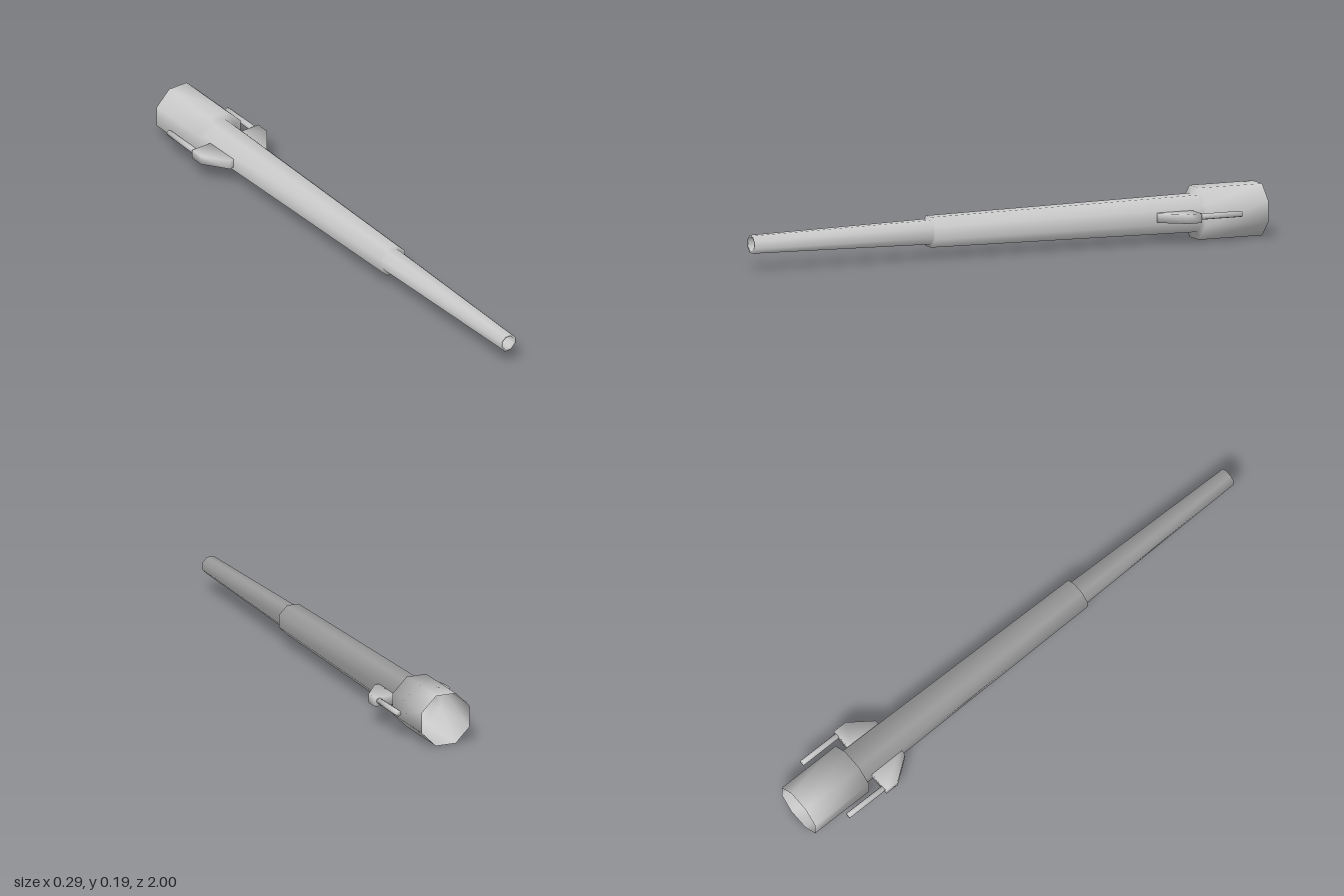
import * as THREE from 'three';
import { mergeVertices } from 'three/addons/utils/BufferGeometryUtils.js';

const AXIS_X = -0.001, AXIS_Y = 0.094;

// Weld all corners and give each the average of its face normals, however large the faces are
function smooth(source) {
  source.deleteAttribute('normal');
  source.deleteAttribute('uv');
  const geometry = mergeVertices(source);
  const { index, attributes: { position } } = geometry;
  const normals = Array.from({ length: position.count }, () => new THREE.Vector3());
  const face = new THREE.Triangle(), n = new THREE.Vector3();
  for (let i = 0; i < index.count; i += 3) {
    const corners = [0, 1, 2].map(k => index.getX(i + k));
    if (new Set(corners).size < 3) continue;
    face.setFromAttributeAndIndices(position, ...corners).getNormal(n);
    corners.forEach(c => normals[c].add(n));
  }
  const values = normals.flatMap(v => v.normalize().toArray());
  geometry.setAttribute('normal', new THREE.Float32BufferAttribute(values, 3));
  return geometry;
}

// Octagonal tube along z from [z, half width across flats] pairs, flats facing up and sideways
function octagon(profile) {
  const points = profile.map(([z, r]) => new THREE.Vector2(r / Math.cos(Math.PI / 8), z));
  return new THREE.LatheGeometry(points, 8, Math.PI / 8).rotateX(Math.PI / 2);
}

export function createModel() {
  const model = new THREE.Group();
  model.name = 'cannonBarrel';
  const material = new THREE.MeshStandardMaterial({ color: 0xcccccc, side: THREE.DoubleSide });

  const add = (name, geometry) => {
    const mesh = new THREE.Mesh(smooth(geometry), material);
    mesh.name = name;
    mesh.position.set(AXIS_X, AXIS_Y, 0);
    model.add(mesh);
  };

  // One shell: open breech, tapered sleeve, slim front tube and recessed bore
  add('barrel', octagon([
    [-1, 0.094], [-0.75, 0.094],
    [-0.75, 0.067], [0.3, 0.055],
    [0.3, 0.044], [1, 0.032],
    [1, 0.024], [0.85, 0.024], [0.85, 0],
  ]));

  for (const [side, s] of [['left', 1], ['right', -1]]) {
    // Wedge bracket, outlined in plan as (x, z)
    const outline = [[0.05, -0.713], [0.147, -0.713], [0.147, -0.66], [0.083, -0.573], [0.05, -0.573]];
    const shape = new THREE.Shape(outline.map(([x, z]) => new THREE.Vector2(s * x, z)));
    const bracket = new THREE.ExtrudeGeometry(shape, { depth: 0.034, bevelEnabled: false });
    bracket.rotateX(Math.PI / 2).translate(0, 0.019, 0);
    add(side + 'Bracket', bracket);

    // Thin rod running back from the bracket
    const rod = new THREE.CylinderGeometry(0.011, 0.011, 0.177, 8);
    rod.rotateX(Math.PI / 2).translate(s * 0.13, 0.005, -0.7885);
    add(side + 'Rod', rod);
  }

  return model;
}
